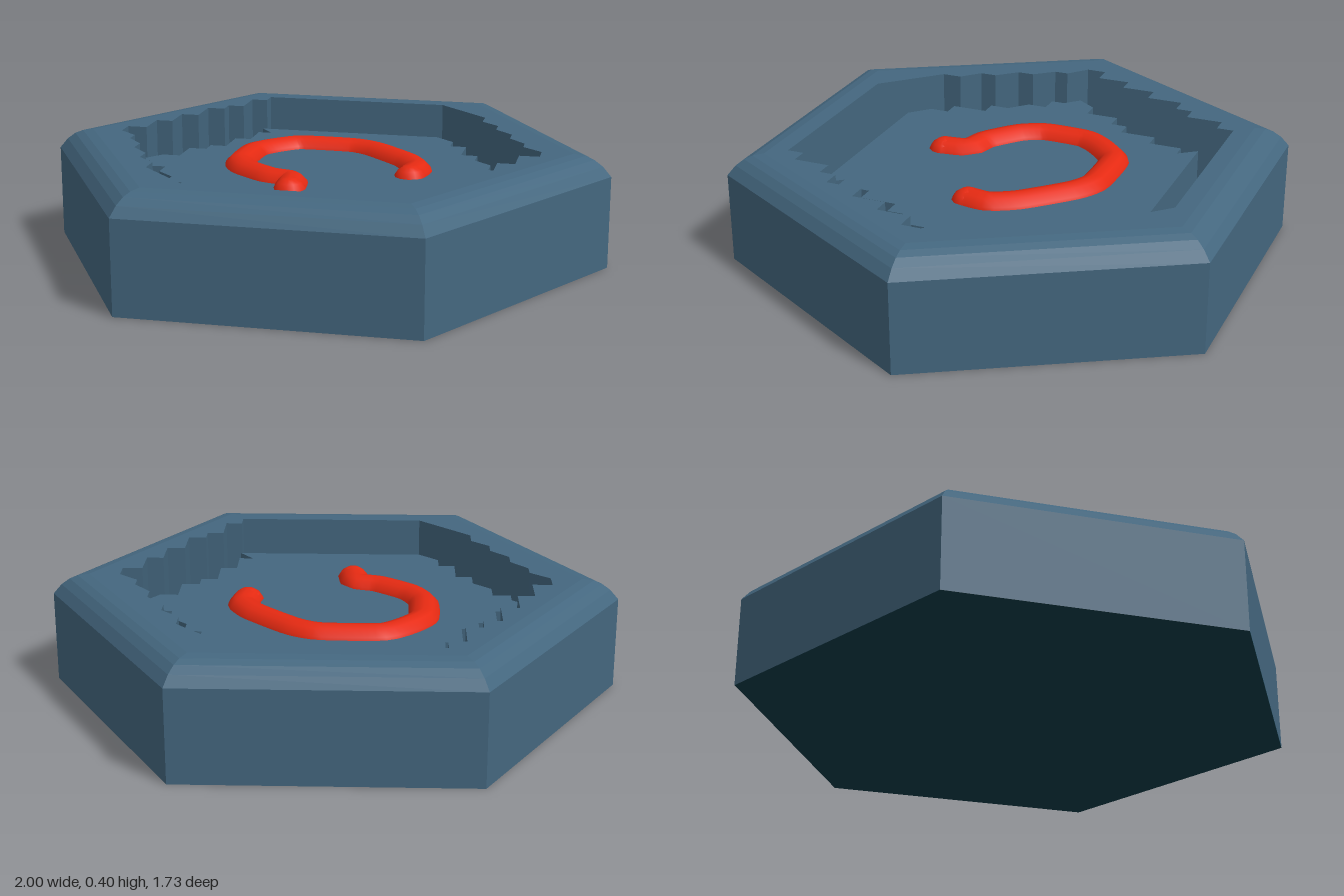
import * as THREE from 'three';

const slate = new THREE.MeshStandardMaterial({ color: 0x44677f });
slate.name = 'slate blue';
const teal = new THREE.MeshStandardMaterial({ color: 0x0e3946 });
teal.name = 'dark teal';
const red = new THREE.MeshStandardMaterial({ color: 0xe62a12 });
red.name = 'red';

const FLOOR = 0.11, PLATEAU = 0.3, TOP = 0.4;

// Half outlines as [x, z]; the other half is the same turned by 180 degrees
const outerHalf = [
  [-0.38, -0.69], [-0.38, -0.63], [-0.44, -0.63], [-0.44, -0.5], [-0.5, -0.5], [-0.5, -0.44],
  [-0.565, -0.44], [-0.565, -0.31], [-0.63, -0.31], [-0.63, -0.19], [-0.69, -0.19], [-0.69, -0.07],
  [-0.76, -0.07], [-0.76, 0], [-0.69, 0.06], [-0.69, 0.11], [-0.63, 0.18], [-0.63, 0.24],
  [-0.565, 0.31], [-0.565, 0.37], [-0.5, 0.43], [-0.5, 0.5], [-0.31, 0.69],
];
const innerHalf = [
  [-0.32, -0.565], [-0.38, -0.565], [-0.33, -0.5], [-0.38, -0.5], [-0.38, -0.38], [-0.44, -0.38],
  [-0.44, -0.25], [-0.5, -0.25], [-0.5, -0.19], [-0.565, -0.19], [-0.565, -0.07], [-0.63, -0.07],
  [-0.68, 0], [-0.63, 0.05], [-0.63, 0.1], [-0.565, 0.1], [-0.565, 0.17], [-0.5, 0.23],
  [-0.5, 0.3], [-0.44, 0.3], [-0.44, 0.43], [-0.38, 0.43], [-0.38, 0.5], [-0.31, 0.565],
];

function outline(half) {
  const all = [...half, ...half.map(([x, z]) => [-x, -z])];
  return all.map(([x, z]) => new THREE.Vector2(x, -z));
}

function hexagon(radius) {
  const pts = [];
  for (let i = 0; i < 6; i++) {
    const a = (i * Math.PI) / 3;
    pts.push(new THREE.Vector2(radius * Math.cos(a), radius * Math.sin(a)));
  }
  return pts;
}

// Upright prism standing between two heights
function prism(shape, y0, y1) {
  const geo = new THREE.ExtrudeGeometry(shape, { depth: y1 - y0, bevelEnabled: false });
  return geo.rotateX(-Math.PI / 2).translate(0, y0, 0);
}

export function createModel() {
  const group = new THREE.Group();
  const add = (name, geo, mat) => {
    const mesh = new THREE.Mesh(geo, mat);
    mesh.name = name;
    group.add(mesh);
  };

  // Six-sided outer shell with a rounded top edge
  const profile = [[1, 0], [1, 0.325], [0.97, 0.36], [0.94, 0.382], [0.91, 0.394], [0.87, TOP]]
    .map(([r, y]) => new THREE.Vector2(r, y));
  const shell = new THREE.LatheGeometry(profile, 6, Math.PI / 6).toNonIndexed();
  shell.computeVertexNormals();
  add('outerShell', shell, slate);

  // Teal base, seen underneath and at the bottom of the groove
  add('base', prism(new THREE.Shape(hexagon(0.999)), 0, FLOOR), teal);

  // Raised rim with a stepped opening
  const rim = new THREE.Shape(hexagon(0.87));
  rim.holes.push(new THREE.Path(outline(outerHalf)));
  add('rim', prism(rim, FLOOR, TOP), slate);

  // Central plateau inside the groove
  add('plateau', prism(new THREE.Shape(outline(innerHalf)), FLOOR, PLATEAU), slate);

  // Curved red bar, partly sunk into the plateau
  const path = [
    [-0.06, 0.295], [-0.075, 0.21], [-0.16, 0.18], [-0.27, 0.09], [-0.315, 0], [-0.31, -0.16],
    [-0.26, -0.24], [-0.17, -0.315], [0.04, -0.315], [0.13, -0.27], [0.27, -0.13],
    [0.32, -0.04], [0.31, 0.04],
  ].map(([x, z]) => new THREE.Vector3(x, 0.28, z));
  const curve = new THREE.CatmullRomCurve3(path, false, 'catmullrom', 0.3);
  add('redCurve', new THREE.TubeGeometry(curve, 60, 0.06, 12), red);
  for (const end of [path[0], path[path.length - 1]]) {
    const cap = new THREE.SphereGeometry(0.06, 12, 8).translate(end.x, end.y, end.z);
    add('redCurveEnd', cap, red);
  }
  return group;
}
